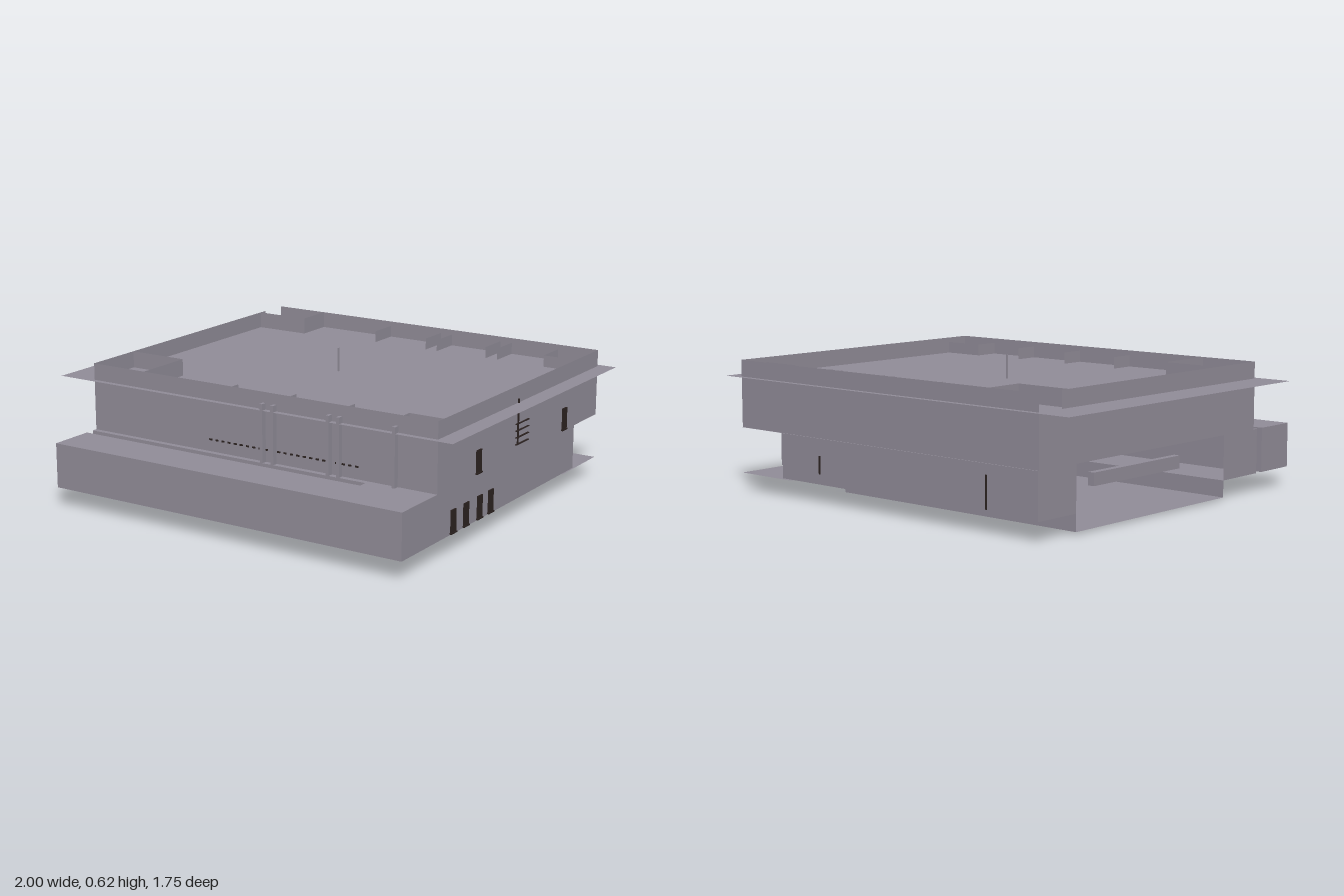
import * as THREE from 'three';

const grey = new THREE.MeshStandardMaterial({ color: 0x908b97, side: THREE.DoubleSide });
grey.name = 'wall grey';
const dark = new THREE.MeshStandardMaterial({ color: 0x2b2220 });
dark.name = 'dark brown';

export function createModel() {
  const model = new THREE.Group();

  const add = (parent, name, geometry, material = grey) => {
    const mesh = new THREE.Mesh(geometry, material);
    mesh.name = name;
    parent.add(mesh);
    return mesh;
  };
  const group = (name) => {
    const g = new THREE.Group();
    g.name = name;
    model.add(g);
    return g;
  };
  // Box from its limits on each axis
  const box = (parent, name, x0, x1, y0, y1, z0, z1, material = grey) =>
    add(parent, name, new THREE.BoxGeometry(x1 - x0, y1 - y0, z1 - z0), material)
      .position.set((x0 + x1) / 2, (y0 + y1) / 2, (z0 + z1) / 2);
  // Thin sheets: across z (facing x), across x (facing z), and level
  const wallX = (parent, name, x, z0, z1, y0, y1) =>
    add(parent, name, new THREE.PlaneGeometry(z1 - z0, y1 - y0).rotateY(Math.PI / 2))
      .position.set(x, (y0 + y1) / 2, (z0 + z1) / 2);
  const wallZ = (parent, name, z, x0, x1, y0, y1) =>
    add(parent, name, new THREE.PlaneGeometry(x1 - x0, y1 - y0))
      .position.set((x0 + x1) / 2, (y0 + y1) / 2, z);
  // Level sheet from an outline of [x, z] points
  const level = (parent, name, y, points) => {
    const shape = new THREE.Shape(points.map(([x, z]) => new THREE.Vector2(x, z)));
    add(parent, name, new THREE.ShapeGeometry(shape).rotateX(Math.PI / 2)).position.y = y;
  };
  const rect = (x0, x1, z0, z1) => [[x0, z0], [x1, z0], [x1, z1], [x0, z1]];

  const L = -0.83, R = 0.92;            // side walls
  const Y0 = 0.01, Y1 = 0.085, Y2 = 0.285, ROOF = 0.512, TOP = 0.587;

  // Basement pit, open on the -x side
  const basement = group('basement');
  level(basement, 'basementFloor', Y0, rect(L, 0.5, -0.62, 0.38));
  wallX(basement, 'basementSideWall', 0.5, -0.62, 0.38, Y0, Y1);
  wallZ(basement, 'basementBackWall', -0.62, L, 0.5, Y0, Y1);
  wallZ(basement, 'basementFrontWall', 0.38, L, 0.5, Y0, Y1);

  // Curved track under the basement
  const track = [[-0.53, 0.09], [-0.16, 0.09], [-0.06, 0.0], [0.08, 0.0], [0.12, -0.05],
    [0.12, -0.28], [0.08, -0.33], [-0.53, -0.33]];
  const trackGroup = group('track');
  for (let i = 0; i < track.length - 1; i++) {
    const [ax, az] = track[i], [bx, bz] = track[i + 1];
    const rail = add(trackGroup, 'trackPiece',
      new THREE.BoxGeometry(Math.hypot(bx - ax, bz - az), 0.01, 0.008));
    rail.position.set((ax + bx) / 2, 0.005, (az + bz) / 2);
    rail.rotation.y = -Math.atan2(bz - az, bx - ax);
  }

  // Lower storey: floor with the pit, the front slit and the corner notch
  const lower = group('lowerStorey');
  level(lower, 'lowerFloor', Y1, [[L, -0.85], [0.65, -0.85], [0.65, -0.62], [R, -0.62],
    [R, 0.875], [L, 0.875], [L, 0.67], [0.6, 0.67], [0.6, 0.63], [L, 0.63],
    [L, 0.38], [0.5, 0.38], [0.5, -0.62], [L, -0.62]]);
  level(lower, 'notchFloor', 0.08, rect(0.6, R, -0.85, -0.52));
  wallX(lower, 'rightWall', R, -0.62, 0.875, Y1, Y2);
  wallZ(lower, 'frontWall', 0.875, L, R, Y1, Y2);
  wallZ(lower, 'frontBlockBackWall', 0.67, L, 0.6, Y1, Y2);
  wallX(lower, 'frontBlockEnd', L, 0.67, 0.875, Y1, Y2);
  wallX(lower, 'slitEnd', 0.6, 0.63, 0.67, Y1, Y2);
  wallZ(lower, 'innerFrontWall', 0.63, L, 0.6, Y1, Y2);
  wallZ(lower, 'backWall', -0.85, L, 0.65, Y1, Y2);
  wallX(lower, 'notchSideWall', 0.65, -0.85, -0.62, Y1, Y2);
  wallZ(lower, 'notchBackWall', -0.62, 0.65, R, Y1, Y2);
  wallX(lower, 'leftWallRear', L, -0.85, -0.62, Y1, Y2);
  wallX(lower, 'leftWallFront', L, 0.38, 0.63, Y1, Y2);
  box(lower, 'openingBeam', L, L + 0.03, 0.18, 0.235, -0.51, 0.06);

  // Upper storey
  const upper = group('upperStorey');
  level(upper, 'upperFloor', Y2, [[L, -0.85], [R, -0.85], [R, 0.875], [L, 0.875],
    [L, 0.67], [0.6, 0.67], [0.6, 0.63], [L, 0.63]]);
  wallZ(upper, 'frontWall', 0.605, L, R, Y2, TOP);
  wallZ(upper, 'backWall', -0.845, L, R, Y2, TOP);
  wallX(upper, 'rightWall', R, -0.845, 0.605, Y2, TOP);
  wallX(upper, 'leftWall', L, -0.845, 0.605, Y2, ROOF);
  wallX(upper, 'leftParapet', L, -0.71, 0.605, ROOF, TOP);

  // Wide roof sheet
  level(model, 'roof', ROOF, rect(-1, 1, -0.87, 0.63));

  // Parapet fins and corner enclosures
  const parapet = group('parapetParts');
  for (const x of [-0.18, 0.1, 0.16, 0.42, 0.48, 0.72])
    wallX(parapet, 'backFin', x, -0.845, -0.7, ROOF, 0.565);
  for (const x of [-0.13, 0.17, 0.46, 0.72])
    wallX(parapet, 'frontFin', x, 0.49, 0.605, ROOF, 0.565);
  wallZ(parapet, 'backCornerFin', -0.7, 0.72, R, ROOF, 0.565);
  wallZ(parapet, 'frontCornerFin', 0.49, 0.72, R, ROOF, 0.565);
  wallX(parapet, 'frontEnclosureSide', -0.55, 0.33, 0.605, ROOF, TOP);
  wallZ(parapet, 'frontEnclosureBack', 0.33, L, -0.55, ROOF, TOP);
  wallX(parapet, 'backEnclosureSide', -0.57, -0.845, -0.67, ROOF, TOP);
  wallZ(parapet, 'backEnclosureFront', -0.67, L, -0.57, ROOF, TOP);
  box(model, 'antenna', -0.018, -0.012, ROOF, 0.62, -0.123, -0.117);

  // Posts and small marks on the front wall
  const front = group('frontDetails');
  for (const x of [0.085, 0.14, 0.415, 0.465, 0.73])
    box(front, 'post', x - 0.007, x + 0.007, Y2, 0.54, 0.605, 0.63);
  for (let i = 0; i < 24; i++) {
    const x = -0.2 + i * 0.032;
    box(front, 'wallMark', x, x + 0.014, 0.335, 0.342, 0.605, 0.609, dark);
  }

  // Dark windows with a slightly wider sill on the right wall
  const windows = group('windows');
  const spots = [[0.27, 0.288], [-0.515, 0.288],
    [0.475, 0.088], [0.37, 0.088], [0.255, 0.088], [0.16, 0.088]];
  for (const [z, y] of spots) {
    box(windows, 'window', R, R + 0.006, y, y + 0.102, z - 0.02, z + 0.02, dark);
    box(windows, 'sill', R, R + 0.009, y, y + 0.006, z - 0.024, z + 0.024, dark);
  }

  // Rungs and pole on the right wall
  const rungs = group('rungs');
  for (const y of [0.33, 0.36, 0.39, 0.42])
    box(rungs, 'rung', R, R + 0.009, y, y + 0.003, -0.165, -0.05, dark);
  box(rungs, 'pole', R, R + 0.006, 0.33, 0.53, -0.073, -0.067, dark);

  // Thin poles on the back wall
  const back = group('backDetails');
  box(back, 'backPole', -0.563, -0.557, 0.1, 0.24, -0.855, -0.85, dark);
  box(back, 'backMark', 0.407, 0.413, 0.13, 0.21, -0.855, -0.85, dark);

  return model;
}
